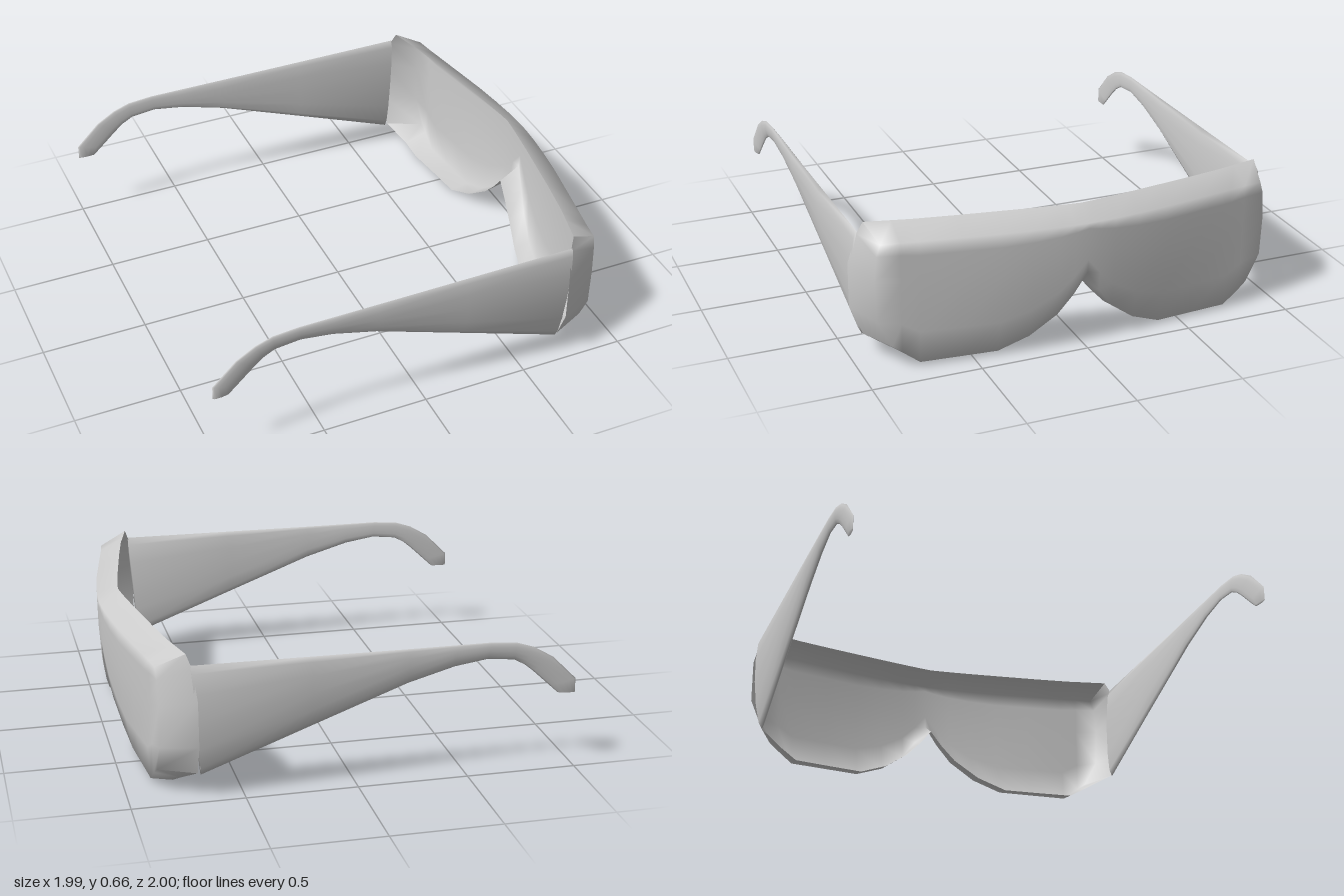
import * as THREE from 'three';

const material = new THREE.MeshStandardMaterial({ color: 0xcccccc, side: THREE.DoubleSide });
const { lerp } = THREE.MathUtils;

// Skin equal rows of [x, y, z] points; closed rows form a tube with capped ends
function loft(name, rows, closed) {
  const m = rows[0].length, last = (rows.length - 1) * m;
  const index = [];
  for (let s = 0; s < last; s += m) {
    for (let i = 0; i < (closed ? m : m - 1); i++) {
      const a = s + i, b = s + ((i + 1) % m), c = b + m, d = a + m;
      index.push(a, d, c, a, c, b);
    }
  }
  for (let i = 0; closed && i < m / 2 - 1; i++) {
    const j = i + 1, k = m - 2 - i, l = m - 1 - i;
    index.push(i, k, l, i, j, k);
    index.push(last + i, last + l, last + k, last + i, last + k, last + j);
  }
  const geometry = new THREE.BufferGeometry();
  geometry.setAttribute('position', new THREE.Float32BufferAttribute(rows.flat(2), 3));
  geometry.setIndex(index);
  geometry.computeVertexNormals();
  const mesh = new THREE.Mesh(geometry, material);
  mesh.name = name;
  return mesh;
}

// Wraparound lens, a shell open at the back: vertical slices from the nose outwards
// z, front top x, front bottom y, top rim x, bottom rim x, bottom rim y
const SLICES = [
  [0, 0.99, 0.365, 0.9, 0.885, 0.3],
  [0.06, 0.988, 0.265, 0.894, 0.883, 0.225],
  [0.13, 0.984, 0.17, 0.885, 0.875, 0.15],
  [0.25, 0.972, 0.075, 0.868, 0.848, 0.06],
  [0.39, 0.954, 0.018, 0.846, 0.82, 0],
  [0.56, 0.925, 0.018, 0.819, 0.802, 0],
  [0.74, 0.894, 0.018, 0.787, 0.78, 0],
  [0.82, 0.88, 0.08, 0.768, 0.757, 0.044],
];
const ROWS = [0, 0.11, 0.36, 0.74, 1];

// Rounded outer end of the lens: x and z per row, top to bottom
const END_FRONT = [[0.868, 0.905], [0.864, 0.922], [0.86, 0.932], [0.86, 0.925], [0.864, 0.86]];
const END_RIM = [[0.74, 0.938], [0.718, 0.962], [0.702, 1], [0.7, 1], [0.7, 0.94]];

// One slice: top rim, front face downwards, bottom rim
function lensSlice([z, frontX, frontY, topX, bottomX, bottomY], side) {
  const front = ROWS.map((t) => {
    const y = lerp(0.6, frontY, t);
    const tuck = 0.08 * ((0.6 - y) / 0.58) ** 3 * (1 - z / 0.95);
    return [frontX - tuck, y, side * z];
  });
  return [[topX, 0.66, side * z], ...front, [bottomX, bottomY, side * z]];
}

// The last two slices, wrapping round the side to the rear rim
function lensEnd(side) {
  const column = (edge, top) => edge.map(([x, z], i) => [x, lerp(top, 0.11, ROWS[i]), side * z]);
  const rim = column(END_RIM, 0.66);
  return [column(END_FRONT, 0.6), rim].map((inner) => [rim[0], ...inner, rim[4]]);
}

// Temple arm: top x, top y, bottom x, bottom y, half thickness, from ear hook to hinge
const ARM = [
  [-1, 0.345, -0.92, 0.348, 0.007],
  [-1, 0.41, -0.88, 0.385, 0.008],
  [-0.89, 0.52, -0.8, 0.46, 0.009],
  [-0.8, 0.573, -0.76, 0.493, 0.009],
  [-0.72, 0.6, -0.71, 0.52, 0.009],
  [-0.6, 0.61, -0.59, 0.533, 0.009],
  [-0.44, 0.61, -0.44, 0.51, 0.012],
  [-0.23, 0.61, -0.23, 0.45, 0.016],
  [0.2, 0.612, 0.2, 0.288, 0.022],
  [0.725, 0.615, 0.688, 0.103, 0.03],
];

function armRing([topX, topY, bottomX, bottomY, half], side) {
  return Array.from({ length: 12 }, (_, i) => {
    const angle = (i / 12) * Math.PI * 2;
    const t = (1 - Math.cos(angle)) / 2;
    // The lower edge leans inwards towards the hinge
    const center = 0.968 - half * (0.2 + 0.7 * t * t);
    return [lerp(topX, bottomX, t), lerp(topY, bottomY, t), side * center - Math.sin(angle) * half];
  });
}

export function createModel() {
  const model = new THREE.Group();
  model.name = 'wraparoundGlasses';
  const rearHalf = SLICES.slice(1).reverse().map((s) => lensSlice(s, -1));
  const frontHalf = SLICES.map((s) => lensSlice(s, 1));
  const slices = [...lensEnd(-1).reverse(), ...rearHalf, ...frontHalf, ...lensEnd(1)];
  model.add(loft('lensShield', slices, false));
  for (const [name, side] of [['leftTemple', 1], ['rightTemple', -1]]) {
    model.add(loft(name, ARM.map((s) => armRing(s, side)), true));
  }
  return model;
}
